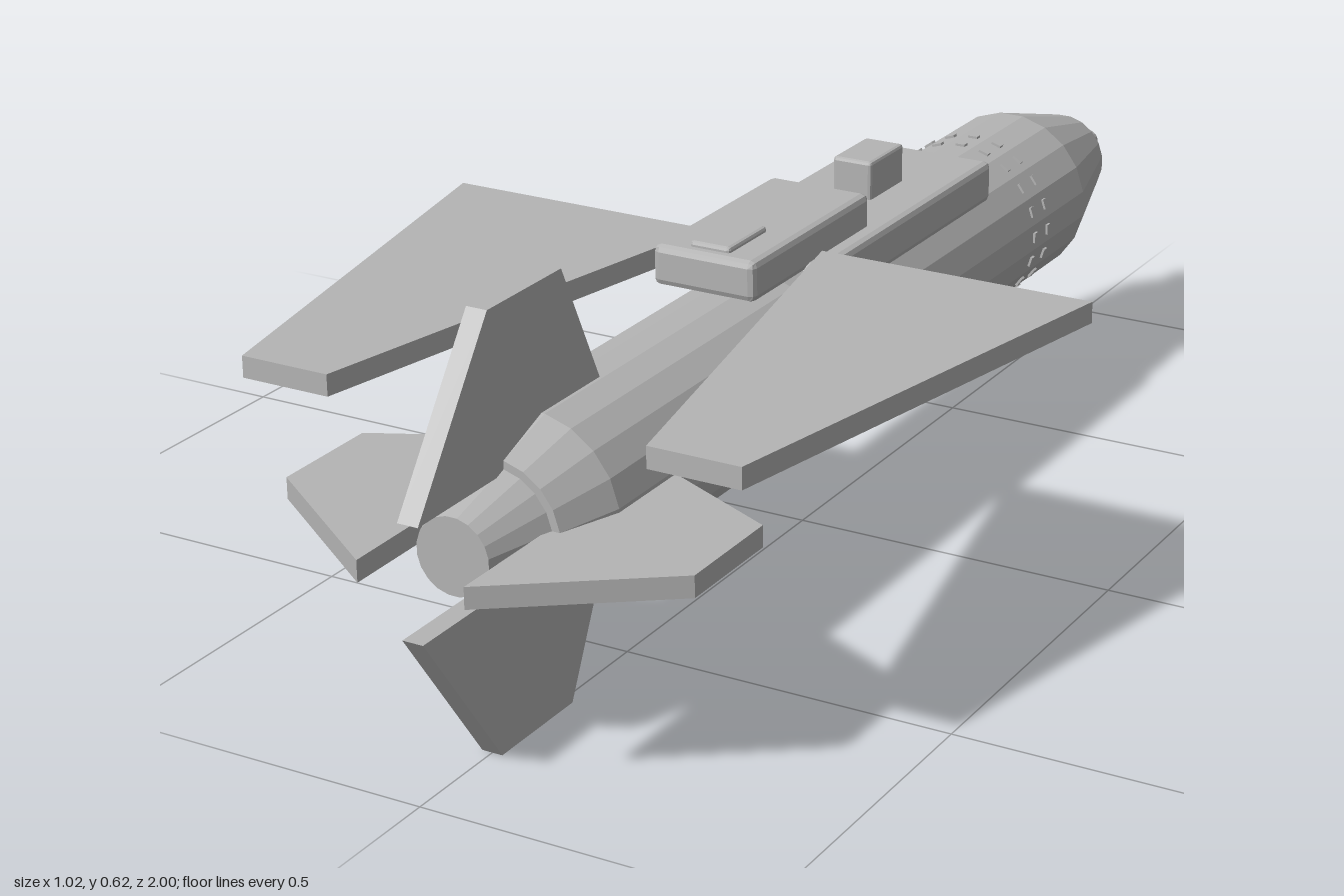
import * as THREE from 'three';
import { RoundedBoxGeometry } from 'three/addons/geometries/RoundedBoxGeometry.js';

const AXIS = 0.31; // height of the fuselage centre line
const SIDES = 20;

export function createModel() {
  const model = new THREE.Group();
  model.name = 'finnedMissile';
  const grey = new THREE.MeshStandardMaterial({ color: 0xb4b4b4, flatShading: true });
  grey.name = 'plain grey';

  function add(name, geometry, parent = model) {
    const mesh = new THREE.Mesh(geometry, grey);
    mesh.name = name;
    parent.add(mesh);
    return mesh;
  }

  // Turned part along z from [radius, z] pairs, nose end first
  function turned(name, profile) {
    const points = profile.map(([r, z]) => new THREE.Vector2(r, z));
    const geometry = new THREE.LatheGeometry(points, SIDES, Math.PI / SIDES);
    geometry.rotateX(Math.PI / 2);
    add(name, geometry).position.y = AXIS;
  }

  // Flat plate lying in the xz plane, centred on its thickness
  function plate(outline, thickness) {
    const shape = new THREE.Shape(outline.map(([x, z]) => new THREE.Vector2(x, z)));
    const geometry = new THREE.ExtrudeGeometry(shape, { depth: thickness, bevelEnabled: false });
    geometry.translate(0, 0, -thickness / 2);
    return geometry.rotateX(Math.PI / 2);
  }

  // Chamfered block given by half width, bottom, top and z range
  function block(name, halfWidth, y0, y1, z0, z1, bevel) {
    const geometry = new RoundedBoxGeometry(halfWidth * 2, y1 - y0, z1 - z0, 1, bevel);
    add(name, geometry).position.set(0, (y0 + y1) / 2, (z0 + z1) / 2);
  }

  // Fuselage, nose tip and tail nozzle
  turned('fuselage', [[0, -0.97], [0.02, -0.967], [0.072, -0.9], [0.132, -0.695],
    [0.132, 0.72], [0.099, 0.81], [0, 0.81]]);
  turned('noseTip', [[0, -1], [0.018, -1], [0.024, -0.955], [0, -0.955]]);
  turned('tailNozzle', [[0, 0.8], [0.091, 0.8], [0.055, 0.907], [0, 0.907]]);

  // Rings of small raised studs behind the nose
  const studs = new THREE.Group();
  studs.name = 'studRings';
  studs.position.y = AXIS;
  model.add(studs);
  const studGeometry = new THREE.BoxGeometry(0.008, 0.016, 0.01);
  for (const z of [-0.515, -0.56]) {
    for (let i = 0; i < SIDES; i++) {
      const angle = (i / SIDES) * Math.PI * 2;
      const stud = add('stud', studGeometry, studs);
      stud.position.set(Math.cos(angle) * 0.13, Math.sin(angle) * 0.13, z);
      stud.rotation.z = angle;
    }
  }

  // Dorsal mounting blocks
  block('saddle', 0.108, 0.402, 0.466, -0.402, 0.137, 0.01);
  block('upperBlock', 0.081, 0.455, 0.515, -0.055, 0.285, 0.01);
  block('frontLug', 0.032, 0.45, 0.524, -0.255, -0.15, 0.005);
  block('rearLug', 0.032, 0.48, 0.523, 0.16, 0.266, 0.005);

  // Pair of folding wings
  const wing = plate([[0.095, 0.115], [0.512, 0.115], [0.375, 0.83], [0.24, 0.83]], 0.031);
  for (const side of [0, 1]) {
    const mesh = add(side ? 'rightWing' : 'leftWing', wing);
    mesh.position.y = 0.467;
    mesh.rotation.z = side * Math.PI;
  }

  // Four tail fins around the axis
  const fin = plate([[0.08, 0.555], [0.31, 0.665], [0.31, 0.835], [0.08, 1]], 0.031);
  ['leftFin', 'topFin', 'rightFin', 'bottomFin'].forEach((name, i) => {
    const mesh = add(name, fin);
    mesh.position.y = AXIS;
    mesh.rotation.z = (i * Math.PI) / 2;
  });

  return model;
}
